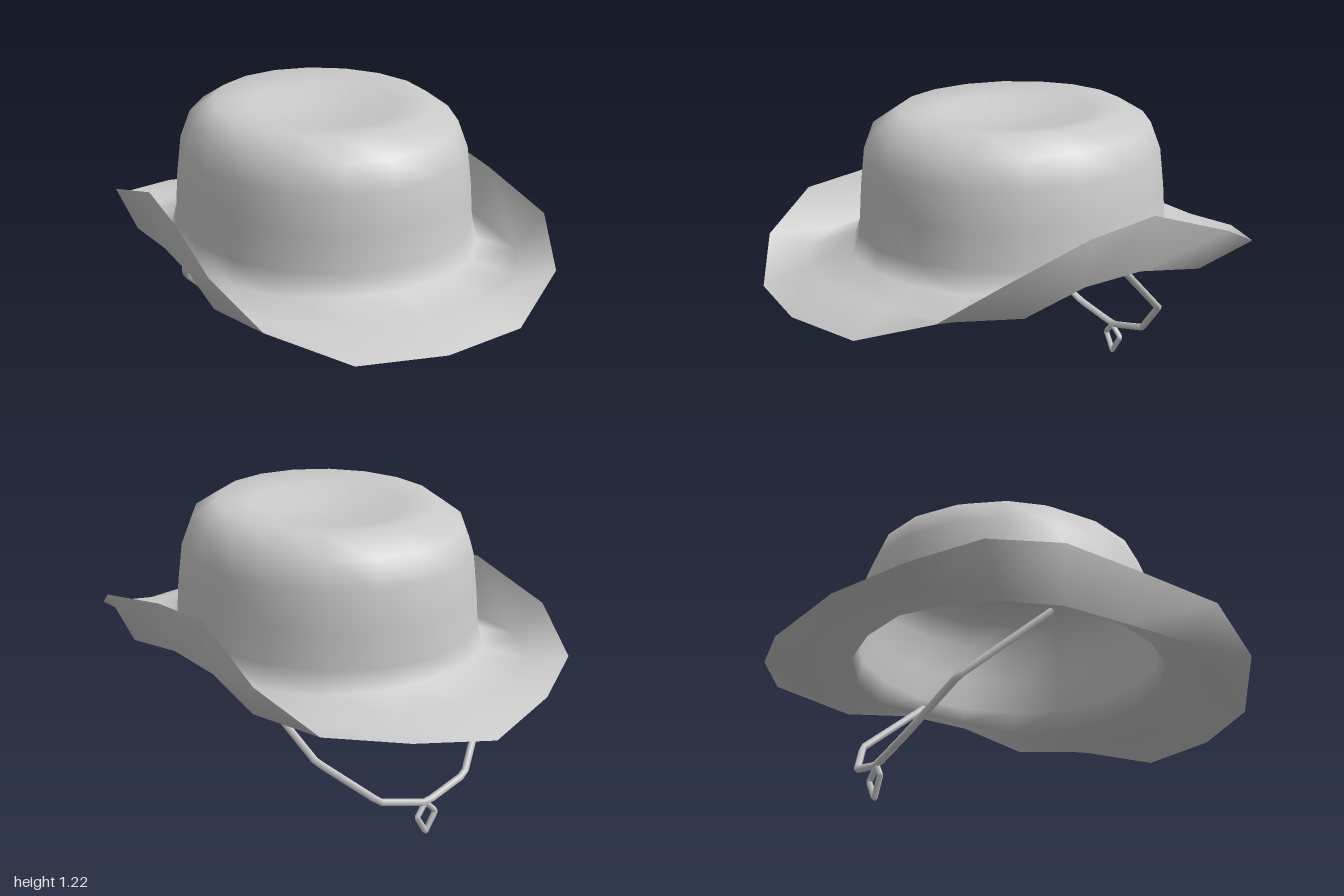
import * as THREE from 'three';

const SIDES = 18;
const material = new THREE.MeshStandardMaterial({ color: 0xcccccc, side: THREE.DoubleSide });

// Crown profile from the dented centre down: [half width, half depth, height]
const crownProfile = [
  [0, 0, 1.165], [0.14, 0.15, 1.172], [0.29, 0.31, 1.2], [0.42, 0.45, 1.22],
  [0.51, 0.56, 1.155], [0.55, 0.6, 1.05], [0.57, 0.615, 0.9], [0.58, 0.625, 0.76],
];

// Brim stations for half the hat, front to back: [x, y, z]
const brimBase = [
  [0, 0.68, 0.65], [0.21, 0.68, 0.61], [0.39, 0.67, 0.5], [0.52, 0.67, 0.33], [0.585, 0.7, 0.11],
  [0.585, 0.7, -0.11], [0.52, 0.67, -0.33], [0.39, 0.67, -0.49], [0.21, 0.68, -0.6], [0, 0.68, -0.63],
];
const brimFold = [
  [0, 0.65, 0.83], [0.27, 0.65, 0.78], [0.5, 0.64, 0.64], [0.635, 0.645, 0.43], [0.62, 0.69, 0.14],
  [0.62, 0.69, -0.13], [0.635, 0.64, -0.42], [0.5, 0.64, -0.63], [0.27, 0.65, -0.77], [0, 0.65, -0.82],
];
const brimEdge = [
  [0, 0.585, 1], [0.33, 0.59, 0.94], [0.59, 0.695, 0.77], [0.69, 0.82, 0.53], [0.67, 0.89, 0.16],
  [0.665, 0.915, -0.15], [0.69, 0.79, -0.51], [0.59, 0.67, -0.76], [0.32, 0.63, -0.92], [0, 0.58, -1],
];

// Full ring of an ellipse
function ellipseRing([rx, rz, y]) {
  return Array.from({ length: SIDES }, (_, j) => {
    const a = (j / SIDES) * Math.PI * 2;
    return [rx * Math.sin(a), y, rz * Math.cos(a)];
  });
}

// Full ring from half a ring; the far side sits slightly lower
function mirrorRing(half, drop = 0) {
  const other = half.slice(1, -1).reverse().map(([x, y, z]) => [-x, Math.abs(z) < 0.2 ? y - drop : y, z]);
  return [...half, ...other];
}

// Index of the quads between consecutive rings
function bandIndex(from, to) {
  const index = [];
  for (let i = from; i < to; i++) {
    for (let j = 0; j < SIDES; j++) {
      const k = (j + 1) % SIDES;
      const a = i * SIDES + j, b = a + SIDES, c = (i + 1) * SIDES + k, d = i * SIDES + k;
      index.push(a, b, c);
      if (i > 0) index.push(a, c, d);
    }
  }
  return index;
}

// Square-sectioned cord through straight runs of points
function cord(name, points, radius, closed = false) {
  const curve = new THREE.CatmullRomCurve3(
    points.map((p) => new THREE.Vector3(...p)), closed, 'catmullrom', 0);
  const mesh = new THREE.Mesh(new THREE.TubeGeometry(curve, 48, radius, 5, closed), material);
  mesh.name = name;
  return mesh;
}

export function createModel() {
  const hat = new THREE.Group();
  hat.name = 'hat';

  // Crown and brim share one smooth shell
  const rings = [
    ...crownProfile.map(ellipseRing),
    mirrorRing(brimBase, 0.02), mirrorRing(brimFold, 0.03), mirrorRing(brimEdge, 0.02),
  ];
  const shell = new THREE.BufferGeometry();
  shell.setAttribute('position', new THREE.Float32BufferAttribute(rings.flat(2), 3));
  shell.setIndex(bandIndex(0, rings.length - 1));
  shell.computeVertexNormals();
  // The dent's centre vertices point straight up
  for (let j = 0; j < SIDES; j++) shell.attributes.normal.setXYZ(j, 0, 1, 0);

  const baseRing = crownProfile.length;
  const parts = [['crown', 0, baseRing], ['brim', baseRing, rings.length - 1]];
  for (const [name, from, to] of parts) {
    const geometry = shell.clone();
    geometry.setIndex(bandIndex(from, to));
    const mesh = new THREE.Mesh(geometry, material);
    mesh.name = name;
    hat.add(mesh);
  }

  // Chin strap hanging towards the back
  hat.add(cord('chinStrap', [
    [-0.53, 0.68, -0.13], [-0.425, 0.38, -0.46], [-0.245, 0.19, -0.575], [-0.04, 0.14, -0.59],
    [0.17, 0.2, -0.57], [0.385, 0.39, -0.455], [0.495, 0.68, -0.13],
  ], 0.015));

  // Diamond loop at the bottom of the strap
  hat.add(cord('strapLoop', [
    [-0.04, 0.14, -0.585], [0.006, 0.09, -0.592], [-0.04, 0.014, -0.59], [-0.086, 0.09, -0.592],
  ], 0.012, true));

  return hat;
}
